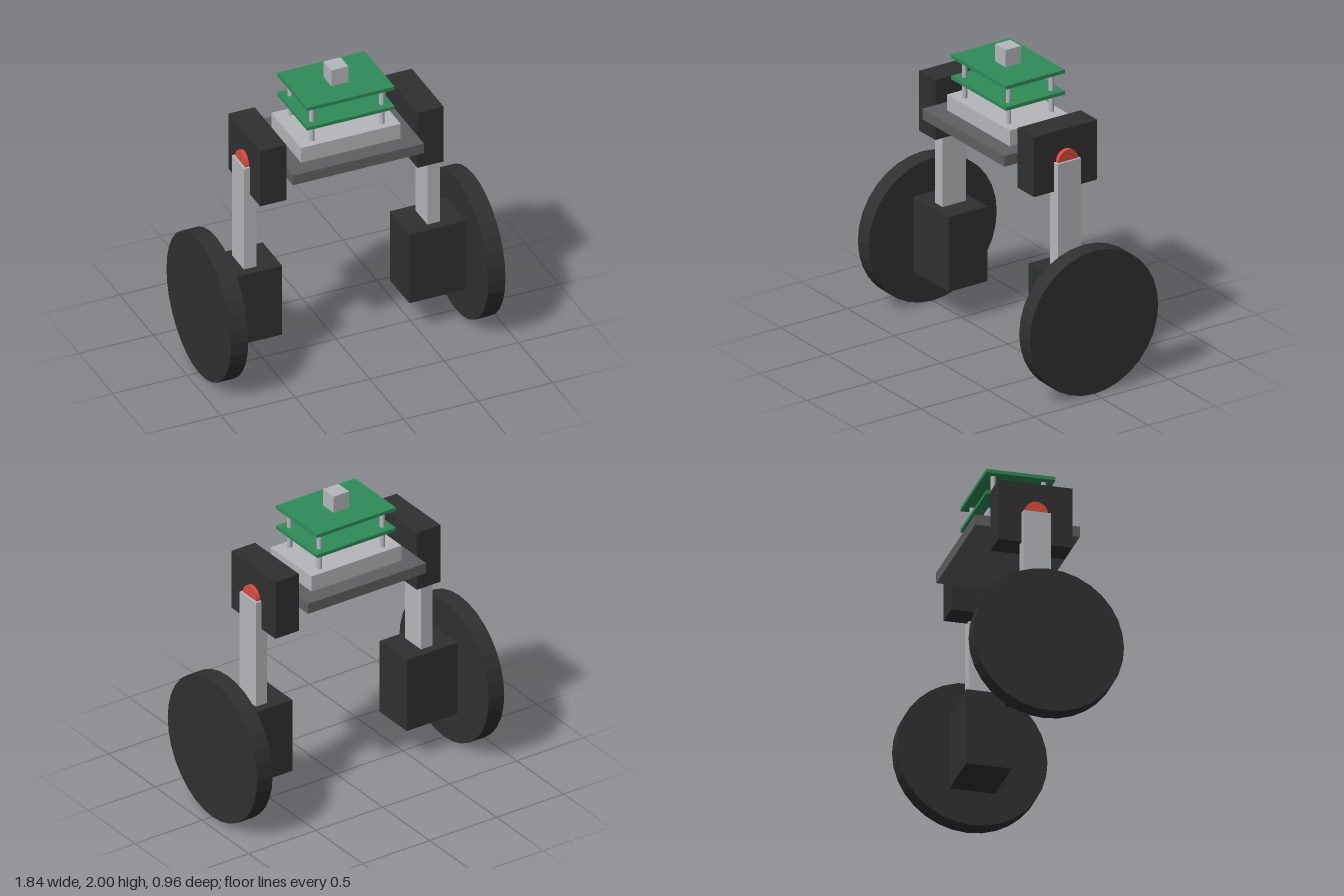
import * as THREE from 'three';

export function createModel() {
  const model = new THREE.Group();
  const mat = (name, color) => {
    const m = new THREE.MeshStandardMaterial({ color, flatShading: true });
    m.name = name;
    return m;
  };
  const black = mat('black', 0x303030);
  const grey = mat('darkGrey', 0x606062);
  const silver = mat('silver', 0xb6b7bb);
  const green = mat('boardGreen', 0x2e8b57);
  const red = mat('red', 0xdb4a3f);

  const add = (name, geometry, material, x, y, z) => {
    const mesh = new THREE.Mesh(geometry, material);
    mesh.name = name;
    mesh.position.set(x, y, z);
    model.add(mesh);
  };
  // Box given by its x range, y range and depth, centred on z = 0
  const box = (name, material, x0, x1, y0, y1, depth) =>
    add(name, new THREE.BoxGeometry(Math.abs(x1 - x0), y1 - y0, depth), material, (x0 + x1) / 2, (y0 + y1) / 2, 0);
  // Disc whose axle lies along x
  const disc = (name, material, radius, x0, x1, y) =>
    add(name, new THREE.CylinderGeometry(radius, radius, Math.abs(x1 - x0), 32).rotateZ(Math.PI / 2), material, (x0 + x1) / 2, y, 0);

  // Body plate and battery
  box('basePlate', grey, -0.44, 0.44, 1.428, 1.498, 0.665);
  box('battery', silver, -0.335, 0.335, 1.498, 1.604, 0.44);

  // Circuit boards on four standoffs, sensor on top
  box('lowerBoard', green, -0.294, 0.294, 1.72, 1.743, 0.44);
  box('upperBoard', green, -0.294, 0.294, 1.862, 1.885, 0.44);
  for (const x of [-0.235, 0.235]) for (const z of [-0.16, 0.16])
    add('standoff', new THREE.CylinderGeometry(0.017, 0.017, 0.258, 16), silver, x, 1.733, z);
  box('sensor', silver, -0.057, 0.057, 1.885, 2, 0.114);

  // Mirrored hips, legs, motors and wheels
  for (const s of [-1, 1]) {
    box('hipServo', black, s * 0.44, s * 0.616, 1.264, 1.664, 0.47);
    disc('hipJoint', red, 0.073, s * 0.58, s * 0.643, 1.46);
    box('leg', silver, s * 0.574, s * 0.658, 0.73, 1.46, 0.174);
    box('wheelMotor', black, s * 0.427, s * 0.806, 0.23, 0.73, 0.29);
    disc('wheel', black, 0.478, s * 0.806, s * 0.922, 0.478);
  }
  return model;
}
